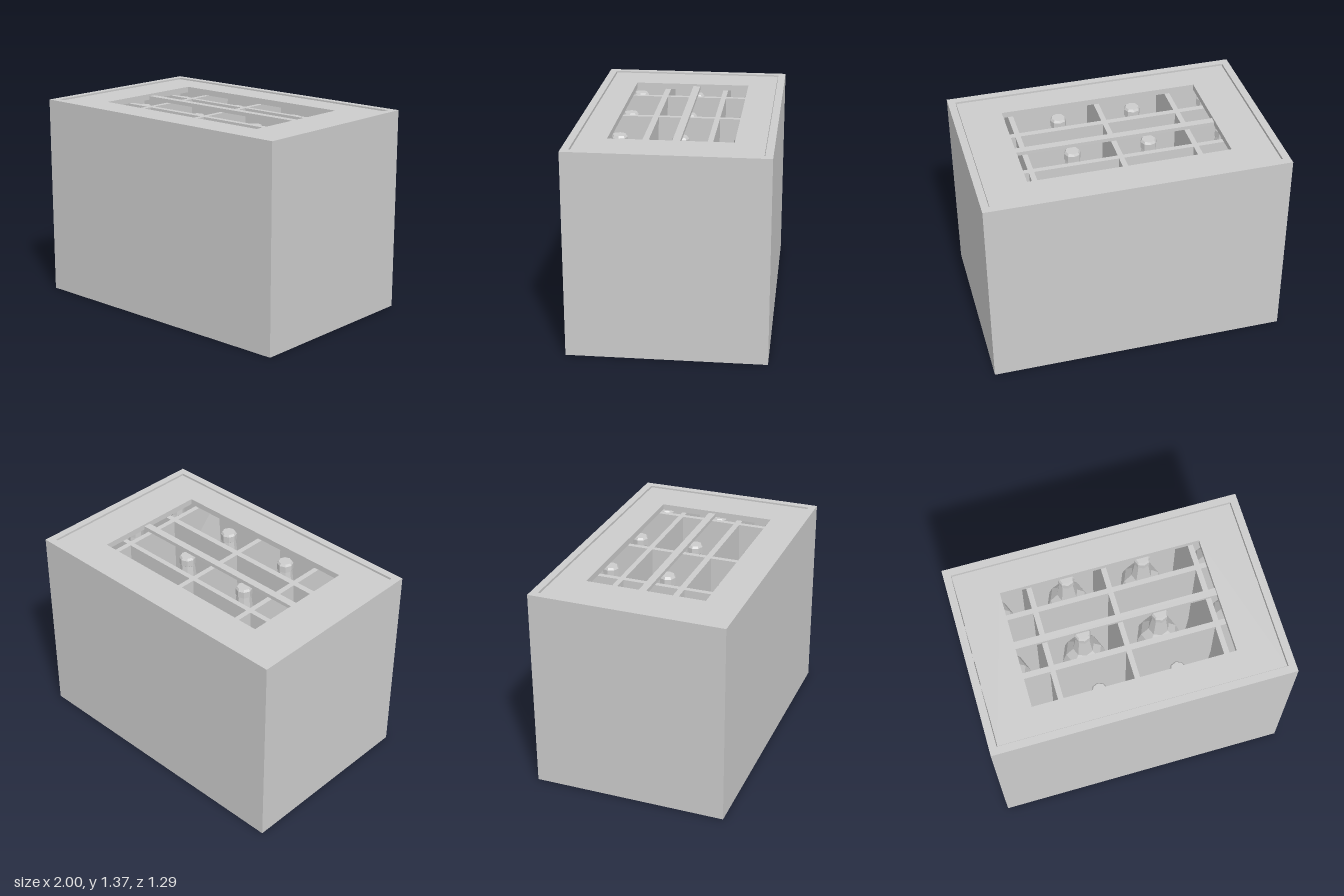
import * as THREE from 'three';

const W = 2, H = 1.365, D = 1.295, WALL = 0.05;
const mat = new THREE.MeshStandardMaterial({ color: 0xcccccc, flatShading: true });

// Rectangular plate with a rectangular opening, standing on y = y0
function frame(w, d, [x0, x1, z0, z1], y0, h) {
  const shape = new THREE.Shape([[-w, -d], [w, -d], [w, d], [-w, d]]
    .map(([x, y]) => new THREE.Vector2(x / 2, y / 2)));
  shape.holes.push(new THREE.Path([[x0, -z0], [x1, -z0], [x1, -z1], [x0, -z1]]
    .map(([x, y]) => new THREE.Vector2(x, y))));
  return new THREE.ExtrudeGeometry(shape, { depth: h, bevelEnabled: false })
    .rotateX(-Math.PI / 2).translate(0, y0, 0);
}

// Box whose lower edge is shifted by lean(x, z), so that the panel tilts
function panel(w, h, d, x, topY, z, lean = () => [0, 0]) {
  const geo = new THREE.BoxGeometry(w, h, d).translate(x, topY - h / 2, z);
  const p = geo.attributes.position;
  for (let i = 0; i < p.count; i++) {
    if (p.getY(i) > topY - h / 2) continue;
    const [dx, dz] = lean(p.getX(i), p.getZ(i));
    p.setX(i, p.getX(i) + dx);
    p.setZ(i, p.getZ(i) + dz);
  }
  return geo;
}

export function createModel() {
  const model = new THREE.Group();
  model.name = 'bottleCrate';
  const add = (name, geo, parent = model) => {
    const mesh = new THREE.Mesh(geo, mat);
    mesh.name = name;
    parent.add(mesh);
    return mesh;
  };
  const ix = W / 2 - WALL, iz = D / 2 - WALL;

  // Crate shell
  add('walls', frame(W, D, [-ix, ix, -iz, iz], 0, H));
  add('floor', panel(2 * ix, WALL, 2 * iz, 0, WALL, 0));

  // Slightly sunken lid with its window and centre slat
  add('lid', frame(2 * ix - 0.01, 2 * iz - 0.01, [-0.675, 0.67, -0.395, 0.405], H - 0.05, 0.04));
  add('centreSlat', panel(2 * ix, 0.025, 0.05, 0, H - 0.025, -0.025));

  // Grid of dividers, some of them leaning
  const dividers = new THREE.Group();
  dividers.name = 'dividers';
  model.add(dividers);
  const top = H - 0.05, tall = top - WALL;
  add('crossDivider', panel(0.035, tall, 2 * iz, -0.485, top, 0, () => [-0.02, 0]), dividers);
  add('crossDivider', panel(0.035, tall, 2 * iz, 0.018, top, 0, x => [x < 0.018 ? -0.012 : 0.008, 0]), dividers);
  add('crossDivider', panel(0.035, tall, 2 * iz, 0.612, top, 0, (x, z) => [-0.045 - 0.06 * z, 0]), dividers);
  add('longDivider', panel(2 * ix, tall, 0.035, 0, top, -0.233), dividers);
  add('longDivider', panel(2 * ix, tall, 0.04, 0, top, 0.18, () => [0, 0.02]), dividers);

  // Eight-sided bottles
  const profile = [[0, 0.05], [0.147, 0.05], [0.147, 0.85], [0.12, 0.95], [0.07, 1.02],
    [0.048, 1.2], [0.055, 1.205], [0.055, 1.25], [0.045, 1.265], [0, 1.265]]
    .map(([r, y]) => new THREE.Vector2(r, y));
  const bottle = new THREE.LatheGeometry(profile, 8);
  const bottles = new THREE.Group();
  bottles.name = 'bottles';
  model.add(bottles);
  for (const x of [-0.75, -0.23, 0.29, 0.8])
    for (const z of [-0.42, -0.017, 0.387])
      add('bottle', bottle, bottles).position.set(x, 0, z);

  return model;
}
